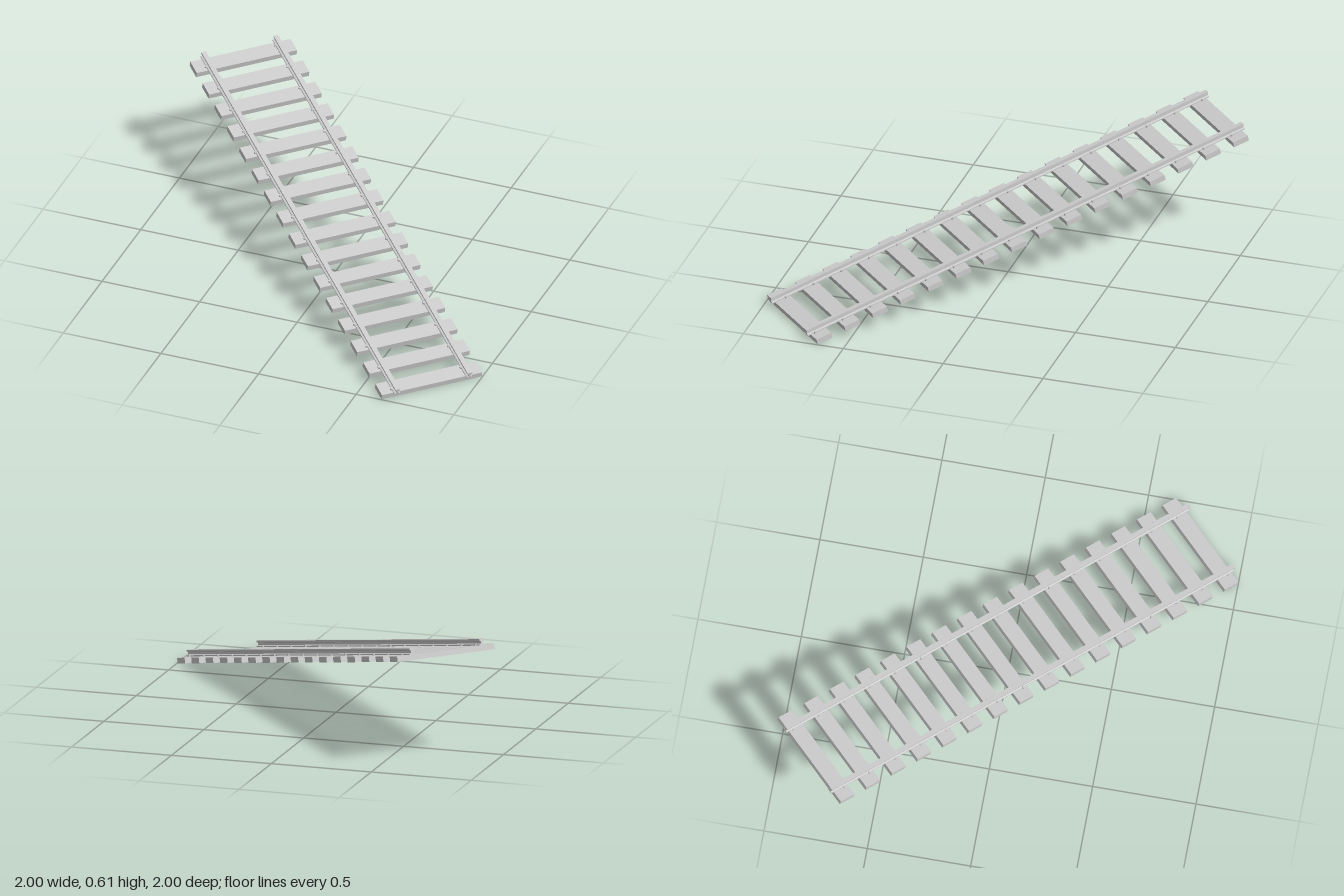
import * as THREE from 'three';

const TIES = 16, TIE_SPAN = 2.288;
const TIE = { length: 0.52, height: 0.027, width: 0.081 };
const RAIL = { offset: 0.187, length: 2.4 };
const SLOPE = THREE.MathUtils.degToRad(13.5);

// I-shaped rail cross-section, swept along the track
function railGeometry() {
  const half = [[0.014, 0], [0.014, 0.005], [0.005, 0.009], [0.005, 0.02], [0.012, 0.023], [0.012, 0.031]];
  const points = [...half, ...half.map(([x, y]) => [-x, y]).reverse()];
  const shape = new THREE.Shape(points.map(([x, y]) => new THREE.Vector2(x, y)));
  const geometry = new THREE.ExtrudeGeometry(shape, { depth: RAIL.length, bevelEnabled: false });
  return geometry.translate(0, 0, -RAIL.length / 2);
}

export function createModel() {
  const material = new THREE.MeshStandardMaterial({ color: 0xcccccc, flatShading: true });
  const model = new THREE.Group();
  model.name = 'slopedTrack';

  // Track is laid along local z, then tilted and turned diagonally
  const track = new THREE.Group();
  track.name = 'track';
  track.rotation.set(SLOPE, Math.PI / 4, 0, 'YXZ');
  track.position.set(-0.002, (TIE_SPAN + TIE.width) / 2 * Math.sin(SLOPE), -0.002);
  model.add(track);

  const add = (geometry, name, x, y, z) => {
    const mesh = new THREE.Mesh(geometry, material);
    mesh.name = name;
    mesh.position.set(x, y, z);
    track.add(mesh);
  };

  const tie = new THREE.BoxGeometry(TIE.length, TIE.height, TIE.width);
  const spike = new THREE.CylinderGeometry(0.006, 0.006, 0.009, 6);
  const rail = railGeometry();

  // Cross ties with staggered spikes on both sides of each rail
  for (let i = 0; i < TIES; i++) {
    const z = (i / (TIES - 1) - 0.5) * TIE_SPAN;
    add(tie, 'tie', 0, TIE.height / 2, z);
    for (const side of [-1, 1]) {
      for (const edge of [-1, 1]) {
        add(spike, 'spike', side * RAIL.offset + edge * 0.016, TIE.height + 0.004, z + side * edge * 0.018);
      }
    }
  }

  // Pair of rails
  add(rail, 'leftRail', RAIL.offset, TIE.height, 0);
  add(rail, 'rightRail', -RAIL.offset, TIE.height, 0);

  return model;
}
